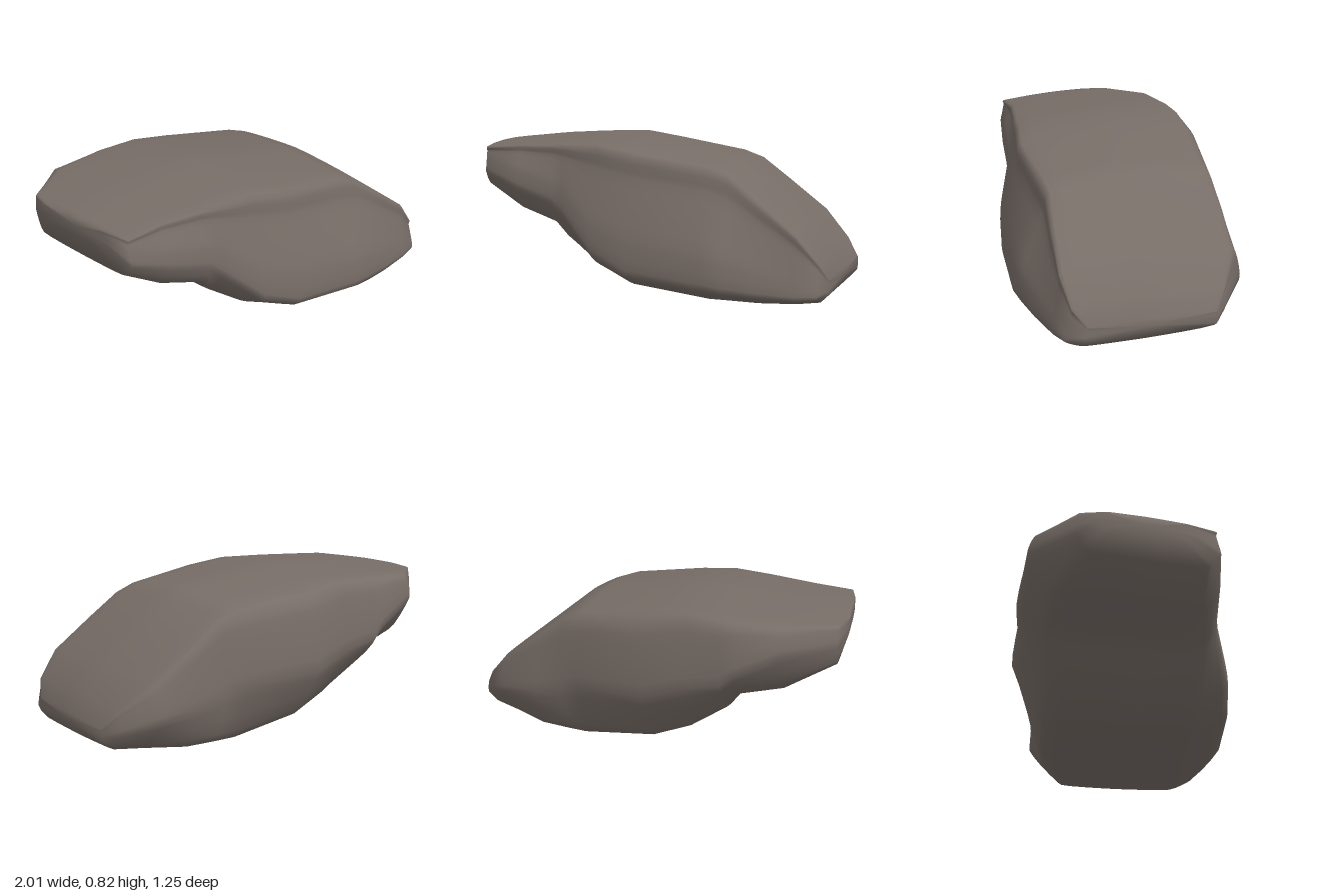
import * as THREE from 'three';

// Cross-sections along x:
// x, bottom y, top y, back z, back y, front z, front y, top-back z, top-front z, bottom-back z, bottom-front z
const SECTIONS = [
  [-1.0, 0.66, 0.76, -0.3, 0.71, 0.18, 0.7, -0.25, 0.14, -0.25, 0.1],
  [-0.965, 0.54, 0.765, -0.4, 0.66, 0.31, 0.65, -0.37, 0.28, -0.35, 0.24],
  [-0.74, 0.42, 0.79, -0.6, 0.64, 0.355, 0.6, -0.5, 0.28, -0.46, 0.27],
  [-0.52, 0.36, 0.805, -0.613, 0.52, 0.395, 0.55, -0.52, 0.33, -0.46, 0.33],
  [-0.46, 0.28, 0.81, -0.62, 0.47, 0.41, 0.5, -0.53, 0.35, -0.46, 0.31],
  [-0.26, 0.13, 0.825, -0.59, 0.42, 0.51, 0.33, -0.51, 0.39, -0.42, 0.33],
  [-0.06, 0.05, 0.8, -0.6, 0.36, 0.56, 0.25, -0.48, 0.44, -0.42, 0.37],
  [0.33, 0.003, 0.745, -0.485, 0.32, 0.62, 0.22, -0.39, 0.45, -0.39, 0.38],
  [0.44, 0.003, 0.705, -0.45, 0.29, 0.61, 0.2, -0.38, 0.45, -0.37, 0.38],
  [0.6, 0.01, 0.58, -0.425, 0.25, 0.59, 0.17, -0.37, 0.48, -0.34, 0.4],
  [0.8, 0.035, 0.425, -0.41, 0.22, 0.56, 0.14, -0.33, 0.51, -0.25, 0.44],
  [0.935, 0.055, 0.28, -0.27, 0.16, 0.54, 0.13, -0.24, 0.49, -0.2, 0.44],
  [1.0, 0.1, 0.18, -0.2, 0.14, 0.46, 0.13, -0.18, 0.43, -0.18, 0.42],
];
const SIDES = 44;

// Closed outline of one cross-section, running front, top, back, bottom; the ends are skewed
function outline([x, yb, yt, zb, ybk, zf, yfr, tb, tf, bb, bf]) {
  const h = yt - yb;
  const mix = THREE.MathUtils.lerp;
  const p = (z, y) => new THREE.Vector3(x * (1 - 0.09 * x ** 8 * (z + 0.2)), y, z);
  return new THREE.CatmullRomCurve3([
    p(zf, yfr - 0.13 * h), p(zf - 0.01, yfr + 0.12 * h),
    p(mix(zf, tf, 0.75), mix(yfr, yt, 0.7)), p(tf, yt - 0.05 * h),
    p((tf + tb) / 2, yt), p(tb, yt - 0.05 * h),
    p(mix(zb, tb, 0.3), mix(ybk, yt, 0.7)), p(zb, ybk),
    p(bb, yb + 0.05 * h), p((bb + bf) / 2, yb), p(bf, yb + 0.03 * h),
  ], true, 'catmullrom', 0.25);
}

function boulderGeometry() {
  const positions = [], index = [];
  for (const section of SECTIONS) {
    const curve = outline(section);
    for (let j = 0; j < SIDES; j++) positions.push(...curve.getPoint(j / SIDES).toArray());
  }
  // Skin between neighbouring outlines
  const last = SECTIONS.length - 1;
  for (let i = 0; i < last; i++) {
    for (let j = 0; j < SIDES; j++) {
      const k = (j + 1) % SIDES;
      const a = i * SIDES + j, b = i * SIDES + k;
      index.push(a, a + SIDES, b, b, a + SIDES, b + SIDES);
    }
  }
  // Closed ends
  for (const i of [0, last]) {
    const centre = positions.length / 3;
    const middle = new THREE.Vector3();
    for (let j = 0; j < SIDES; j++) {
      const a = i * SIDES + j, b = i * SIDES + (j + 1) % SIDES;
      middle.add(new THREE.Vector3().fromArray(positions, a * 3));
      index.push(centre, ...(i === 0 ? [a, b] : [b, a]));
    }
    positions.push(...middle.divideScalar(SIDES).toArray());
  }
  const geometry = new THREE.BufferGeometry();
  geometry.setAttribute('position', new THREE.Float32BufferAttribute(positions, 3));
  geometry.setIndex(index);
  geometry.computeVertexNormals();
  return geometry;
}

export function createModel() {
  const stone = new THREE.MeshStandardMaterial({ color: 0x776d67 });
  stone.name = 'stone';

  const boulder = new THREE.Mesh(boulderGeometry(), stone);
  boulder.name = 'boulder';

  const group = new THREE.Group();
  group.name = 'rock';
  group.add(boulder);
  return group;
}
